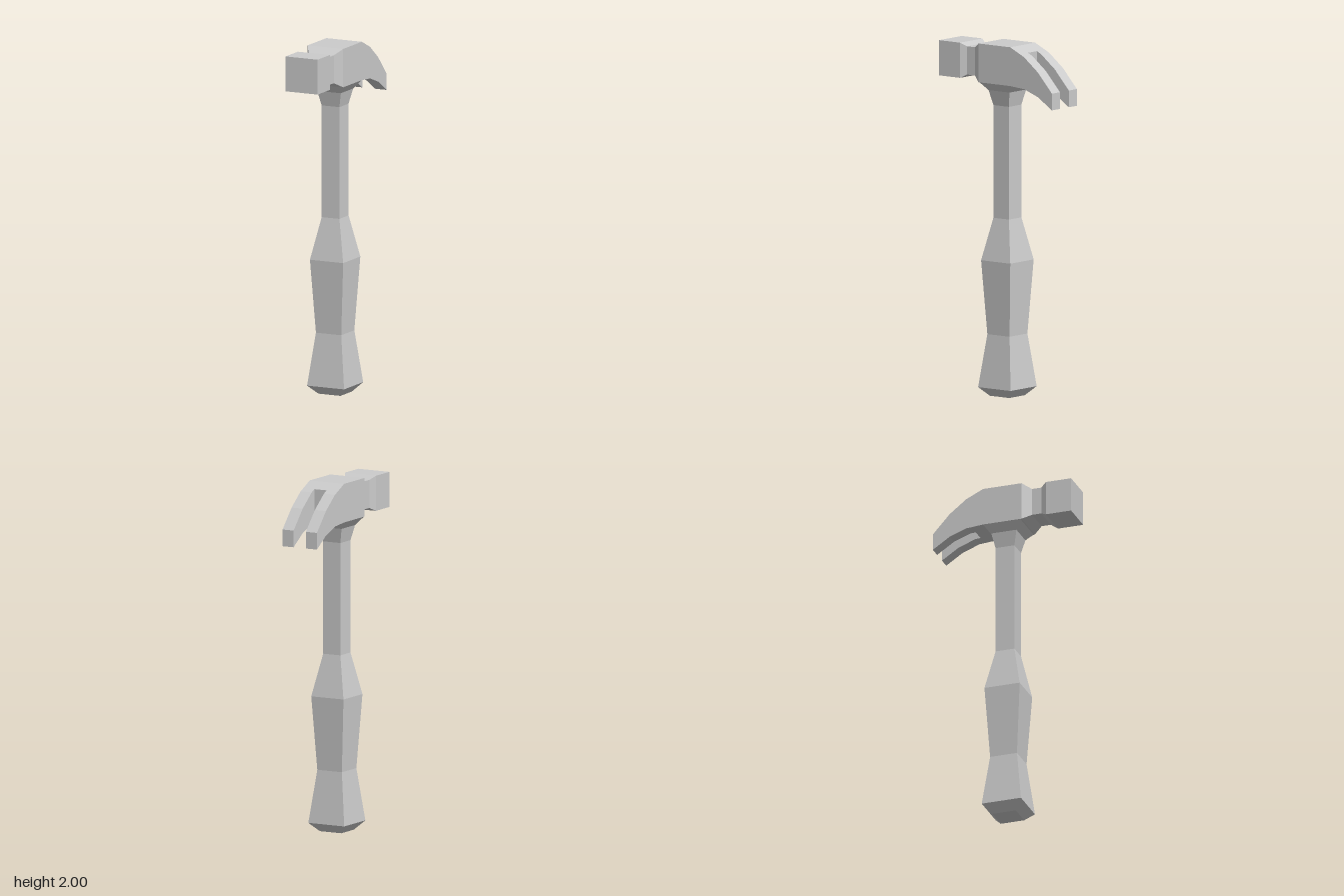
import * as THREE from 'three';

const material = new THREE.MeshStandardMaterial({ color: 0xcccccc, flatShading: true });

// Skin four-cornered rings, counter-clockwise seen from the last ring's end.
function loft(name, rings, capStart = true, capEnd = true) {
  const pos = [];
  const quad = (a, b, c, d) => pos.push(...a, ...b, ...c, ...a, ...c, ...d);
  for (let r = 0; r < rings.length - 1; r++) {
    const a = rings[r], b = rings[r + 1];
    for (let i = 0; i < 4; i++) {
      const j = (i + 1) % 4;
      quad(a[i], a[j], b[j], b[i]);
    }
  }
  const first = rings[0], last = rings[rings.length - 1];
  if (capStart) quad(first[3], first[2], first[1], first[0]);
  if (capEnd) quad(...last);
  const geometry = new THREE.BufferGeometry();
  geometry.setAttribute('position', new THREE.Float32BufferAttribute(pos, 3));
  geometry.computeVertexNormals();
  const mesh = new THREE.Mesh(geometry, material);
  mesh.name = name;
  return mesh;
}

// Square ring around the handle axis
const handleRing = ([y, h]) => [[-h, y, h], [h, y, h], [h, y, -h], [-h, y, -h]];

// Rectangular ring facing along z
const headRing = (z, x0, x1, y0, y1) => [[x0, y0, z], [x1, y0, z], [x1, y1, z], [x0, y1, z]];

export function createModel() {
  const hammer = new THREE.Group();
  hammer.name = 'hammer';

  // Handle: pommel, waisted grip, shaft and flared collar (height, half width)
  hammer.add(loft('handle', [
    [0, 0.07], [0.05, 0.117], [0.35, 0.08], [0.77, 0.105],
    [1.01, 0.056], [1.65, 0.056], [1.735, 0.075], [1.78, 0.111],
  ].map(handleRing)));

  // Head: body, narrow neck and striking block (z, half width, bottom, top)
  hammer.add(loft('head', [
    [-0.18, 0.112, 1.774, 1.967], [-0.11, 0.112, 1.78, 2], [0.118, 0.112, 1.78, 2],
    [0.17, 0.08, 1.81, 1.97], [0.225, 0.08, 1.81, 1.97],
    [0.26, 0.101, 1.79, 1.99], [0.41, 0.101, 1.79, 1.99],
  ].map(([z, w, y0, y1]) => headRing(z, -w, w, y0, y1))));

  // Two curved claws, open where they join the body (z, bottom, top)
  const claw = [
    [-0.41, 1.67, 1.765], [-0.31, 1.735, 1.875],
    [-0.21, 1.772, 1.953], [-0.18, 1.774, 1.967],
  ];
  for (const [name, x0, x1] of [['leftClaw', 0.04, 0.112], ['rightClaw', -0.112, -0.04]]) {
    hammer.add(loft(name, claw.map(([z, y0, y1]) => headRing(z, x0, x1, y0, y1)), true, false));
  }
  return hammer;
}
